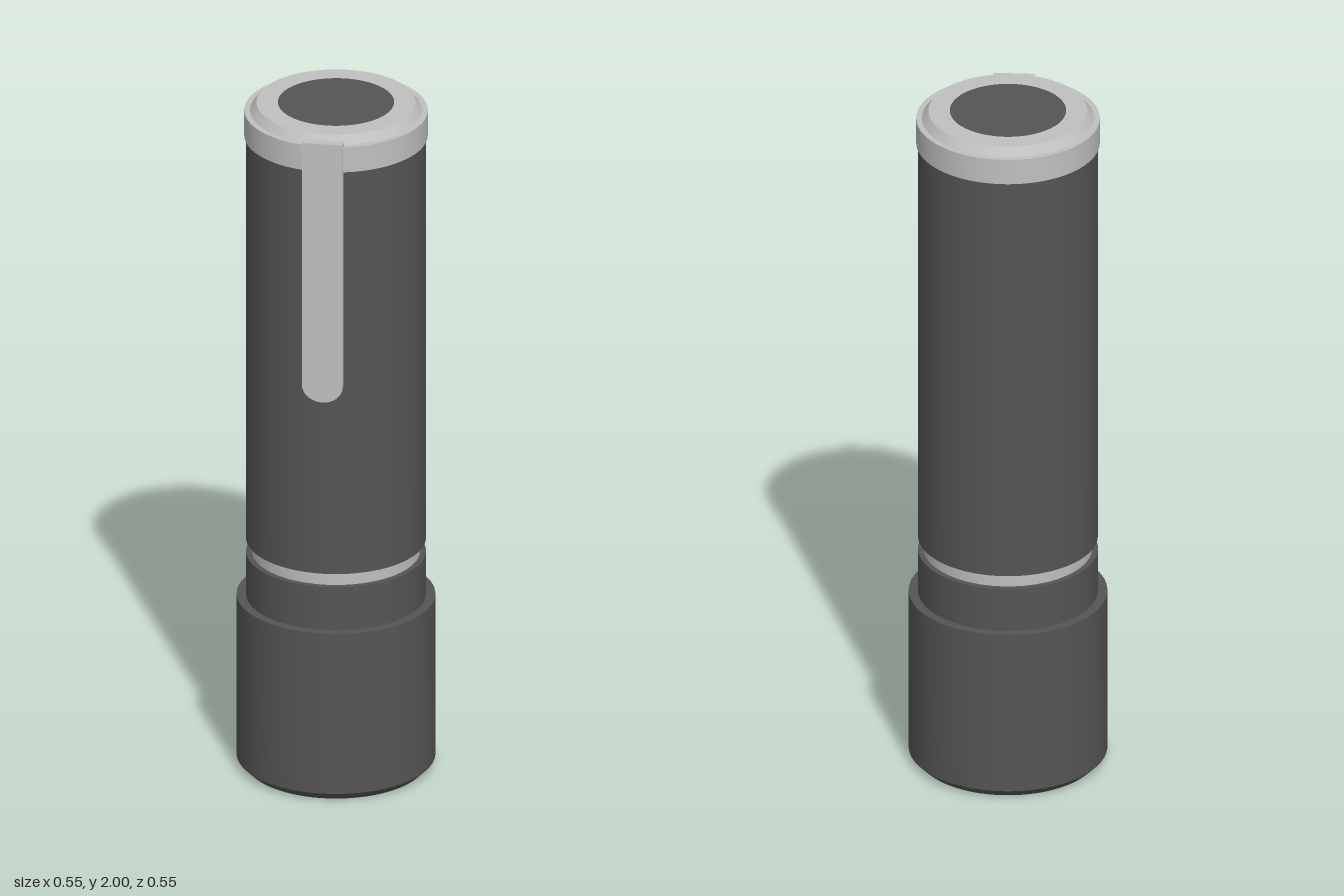
import * as THREE from 'three';
import { toCreasedNormals } from 'three/addons/utils/BufferGeometryUtils.js';

const dark = new THREE.MeshStandardMaterial({ color: 0x555555 });
dark.name = 'dark grey';
const silver = new THREE.MeshStandardMaterial({ color: 0xc0c0c0 });
silver.name = 'silver';

// Turned part from a [radius, height] profile, listed bottom to top
function turned(name, profile, material) {
  const points = profile.map(([r, y]) => new THREE.Vector2(r, y));
  const geometry = toCreasedNormals(new THREE.LatheGeometry(points, 96), 0.4);
  const mesh = new THREE.Mesh(geometry, material);
  mesh.name = name;
  return mesh;
}

export function createModel() {
  const model = new THREE.Group();
  model.name = 'penlight';

  // Wide head with chamfered bottom edge, and the neck above it
  model.add(turned('head', [[0, 0], [0.25, 0], [0.275, 0.025], [0.275, 0.51], [0.24, 0.51]], dark));
  model.add(turned('neck', [[0.249, 0.5], [0.249, 0.64], [0.22, 0.64]], dark));

  // Recessed metal ring between neck and barrel
  model.add(turned('ring', [[0.233, 0.63], [0.233, 0.69]], silver));

  // Long barrel
  model.add(turned('barrel', [[0.22, 0.68], [0.249, 0.68], [0.249, 1.91]], dark));

  // End cap: band, flat shoulder, bevelled rim and top face
  model.add(turned('cap', [
    [0.24, 1.9], [0.254, 1.9], [0.254, 1.976], [0.238, 1.976], [0.22, 2], [0.161, 2],
  ], silver));

  // Button flush with the top face
  const button = new THREE.Mesh(new THREE.CircleGeometry(0.161, 96), dark);
  button.name = 'button';
  button.rotation.x = -Math.PI / 2;
  button.position.y = 2;
  model.add(button);

  // Pocket clip: flat strip with a rounded lower end
  const w = 0.057;
  const outline = new THREE.Shape();
  outline.moveTo(w, 1.985);
  outline.lineTo(-w, 1.985);
  outline.lineTo(-w, 1.252);
  outline.absellipse(0, 1.252, w, 0.05, Math.PI, Math.PI * 2, false, 0);
  outline.closePath();
  const clipGeometry = new THREE.ExtrudeGeometry(outline, { depth: 0.029, bevelEnabled: false, curveSegments: 20 });
  const clip = new THREE.Mesh(toCreasedNormals(clipGeometry, 0.5), silver);
  clip.name = 'clip';
  clip.position.z = 0.226;
  model.add(clip);

  return model;
}
